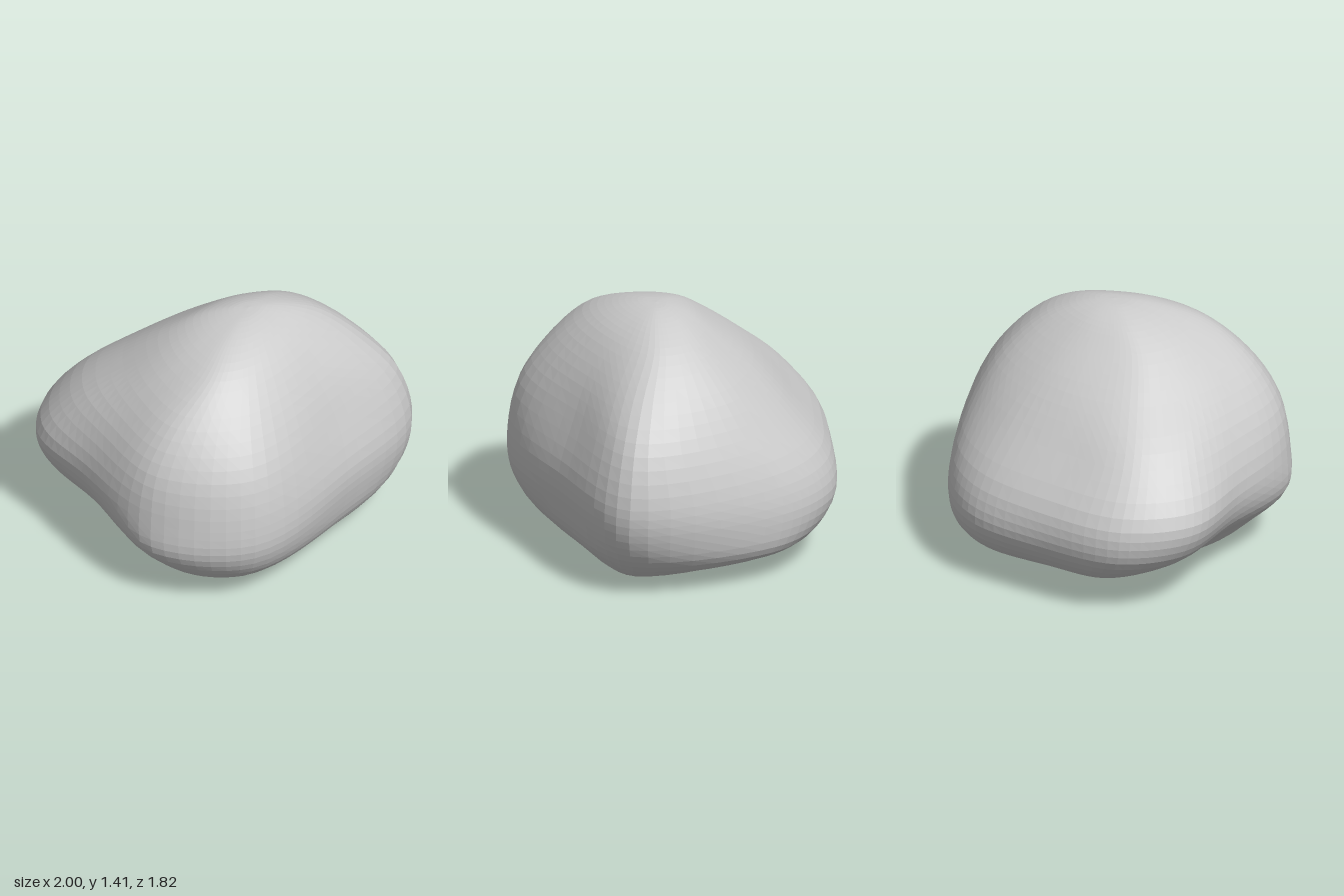
import * as THREE from 'three';

// Cross-sections from bottom to top: height, slope of the height along z,
// then ten outline points (x, z): left corner, back-left corner, back-left face,
// back, back-right, right corner, front-right face, front, front-left, left face.
const SECTIONS = [
  { y: 0.045, sz: -0.085, p: [-0.42, -0.25, -0.35, -0.42, -0.12, -0.5, 0.17, -0.64, 0.4, -0.48, 0.64, 0.08, 0.3, 0.32, -0.17, 0.48, -0.36, 0.4, -0.42, 0.08] },
  { y: 0.18, p: [-0.68, -0.33, -0.58, -0.57, -0.25, -0.71, 0.18, -0.81, 0.55, -0.64, 0.86, 0.08, 0.44, 0.48, -0.14, 0.78, -0.52, 0.6, -0.61, 0.1] },
  { y: 0.36, p: [-0.93, -0.33, -0.77, -0.65, -0.33, -0.83, 0.16, -0.91, 0.56, -0.7, 0.97, 0.08, 0.49, 0.52, -0.14, 0.89, -0.65, 0.68, -0.81, 0.12] },
  { y: 0.56, p: [-1, -0.3, -0.8, -0.65, -0.33, -0.82, 0.16, -0.87, 0.55, -0.68, 1, 0.07, 0.5, 0.53, -0.14, 0.9, -0.66, 0.68, -0.88, 0.12] },
  { y: 0.84, p: [-0.84, -0.2, -0.7, -0.48, -0.32, -0.61, 0.17, -0.67, 0.58, -0.5, 0.92, 0.06, 0.46, 0.46, -0.13, 0.84, -0.62, 0.65, -0.78, 0.2] },
  { y: 1.08, p: [-0.59, -0.05, -0.5, -0.27, -0.2, -0.42, 0.15, -0.46, 0.52, -0.35, 0.73, 0.04, 0.38, 0.39, -0.1, 0.68, -0.48, 0.58, -0.59, 0.25] },
  { y: 1.27, p: [-0.36, 0.05, -0.3, -0.1, -0.1, -0.21, 0.13, -0.25, 0.4, -0.19, 0.51, 0.01, 0.28, 0.29, -0.05, 0.48, -0.26, 0.46, -0.35, 0.26] },
];
const BOTTOM = new THREE.Vector3(0.12, 0.17, -0.17);
const TOP = new THREE.Vector3(0.08, 1.41, 0.06);
const AROUND = 70;
const STEPS = 4;

// Smooth closed outline of one cross-section
function outline({ y, sz = 0, p }) {
  const pts = [];
  for (let i = 0; i < p.length; i += 2) {
    pts.push(new THREE.Vector3(p[i], y + sz * p[i + 1], p[i + 1]));
  }
  const curve = new THREE.CatmullRomCurve3(pts, true);
  return Array.from({ length: AROUND }, (_, j) => curve.getPoint(j / AROUND));
}

// Point between a pole and its nearest section: outward share, height share
function capPoint(pole, rim, out, rise) {
  const q = pole.clone().lerp(rim, out);
  q.y = THREE.MathUtils.lerp(pole.y, rim.y, rise);
  return q;
}

function boulderGeometry() {
  const rings = SECTIONS.map(outline);
  const rows = (rings.length + 5) * STEPS;
  const positions = [];
  const index = [];

  // Each column runs from the hollow underside to the crown
  for (let j = 0; j < AROUND; j++) {
    const column = rings.map((ring) => ring[j]);
    const low = column[0], high = column[column.length - 1];
    const curve = new THREE.CatmullRomCurve3([
      BOTTOM, capPoint(BOTTOM, low, 0.3, 0.2), capPoint(BOTTOM, low, 0.7, 0.78),
      ...column,
      capPoint(TOP, high, 0.6, 0.36), capPoint(TOP, high, 0.25, 0.06), TOP,
    ]);
    for (let i = 0; i <= rows; i++) positions.push(...curve.getPoint(i / rows).toArray());
  }

  // Quads between neighbouring columns, single triangles at the two poles
  const at = (i, j) => (j % AROUND) * (rows + 1) + i;
  for (let j = 0; j < AROUND; j++) {
    for (let i = 0; i < rows; i++) {
      const a = at(i, j), b = at(i + 1, j), c = at(i + 1, j + 1), d = at(i, j + 1);
      if (i < rows - 1) index.push(a, b, c);
      else index.push(a, b, d);
      if (i > 0 && i < rows - 1) index.push(a, c, d);
    }
  }

  const geometry = new THREE.BufferGeometry();
  geometry.setAttribute('position', new THREE.Float32BufferAttribute(positions, 3));
  geometry.setIndex(index);
  geometry.computeBoundingBox();
  geometry.translate(0, -geometry.boundingBox.min.y, 0);
  geometry.computeVertexNormals();
  return geometry;
}

export function createModel() {
  const group = new THREE.Group();
  group.name = 'rock';
  const boulder = new THREE.Mesh(
    boulderGeometry(),
    new THREE.MeshStandardMaterial({ color: 0xcccccc, flatShading: true }),
  );
  boulder.name = 'boulder';
  group.add(boulder);
  return group;
}
